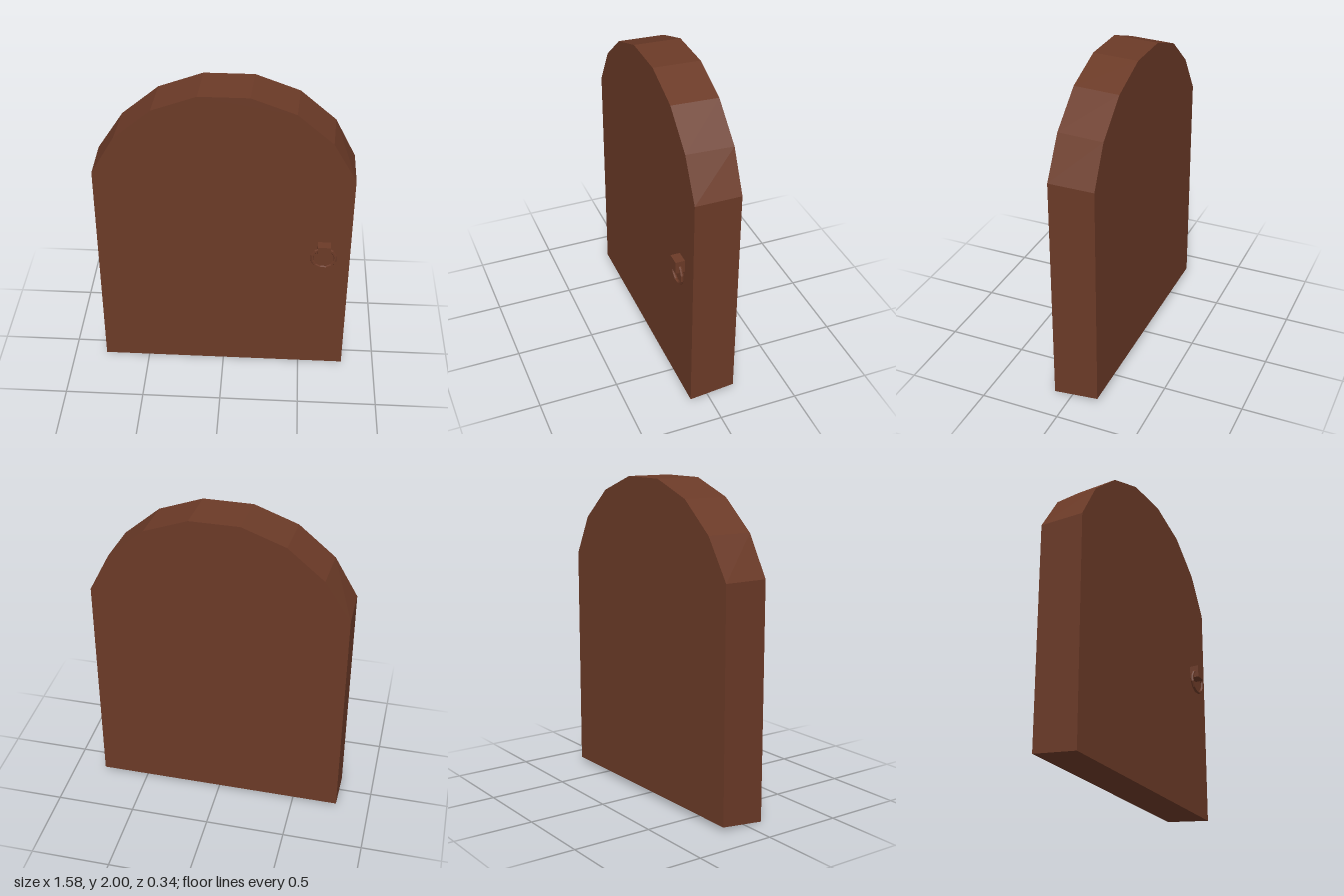
import * as THREE from 'three';

export function createModel() {
  const group = new THREE.Group();
  const wood = new THREE.MeshStandardMaterial({ color: 0x6b3a27, flatShading: true });
  wood.name = 'brown wood';

  const add = (name, geometry, x = 0, y = 0, z = 0) => {
    const mesh = new THREE.Mesh(geometry, wood);
    mesh.name = name;
    mesh.position.set(x, y, z);
    group.add(mesh);
    return mesh;
  };

  // Arched slab
  const zBack = -0.172, zFront = 0.114;
  const outline = [
    [-0.79, 0], [0.79, 0], [0.79, 1.46], [0.645, 1.71], [0.425, 1.9],
    [0.155, 2], [-0.15, 2], [-0.42, 1.9], [-0.645, 1.71], [-0.79, 1.46],
  ].map(([x, y]) => new THREE.Vector2(x, y));
  const slab = new THREE.ExtrudeGeometry(new THREE.Shape(outline), {
    depth: zFront - zBack, bevelEnabled: false,
  });
  slab.translate(0, 0, zBack);

  // At the back the arch leans sideways and the bottom edge rises
  const p = slab.attributes.position;
  for (let i = 0; i < p.count; i++) {
    if (p.getZ(i) > 0) continue;
    if (p.getY(i) > 1.5) p.setX(i, p.getX(i) + 0.017);
    if (p.getY(i) < 0.01) p.setY(i, 0.03);
  }
  slab.computeVertexNormals();
  add('doorSlab', slab);

  // Handle mount and pull ring
  add('handleMount', new THREE.BoxGeometry(0.08, 0.08, 0.06), 0.626, 0.96, 0.143);
  const ring = add('pullRing', new THREE.TorusGeometry(0.073, 0.01, 6, 12), 0.625, 0.9, 0.144);
  ring.rotation.z = Math.PI / 12;

  return group;
}
